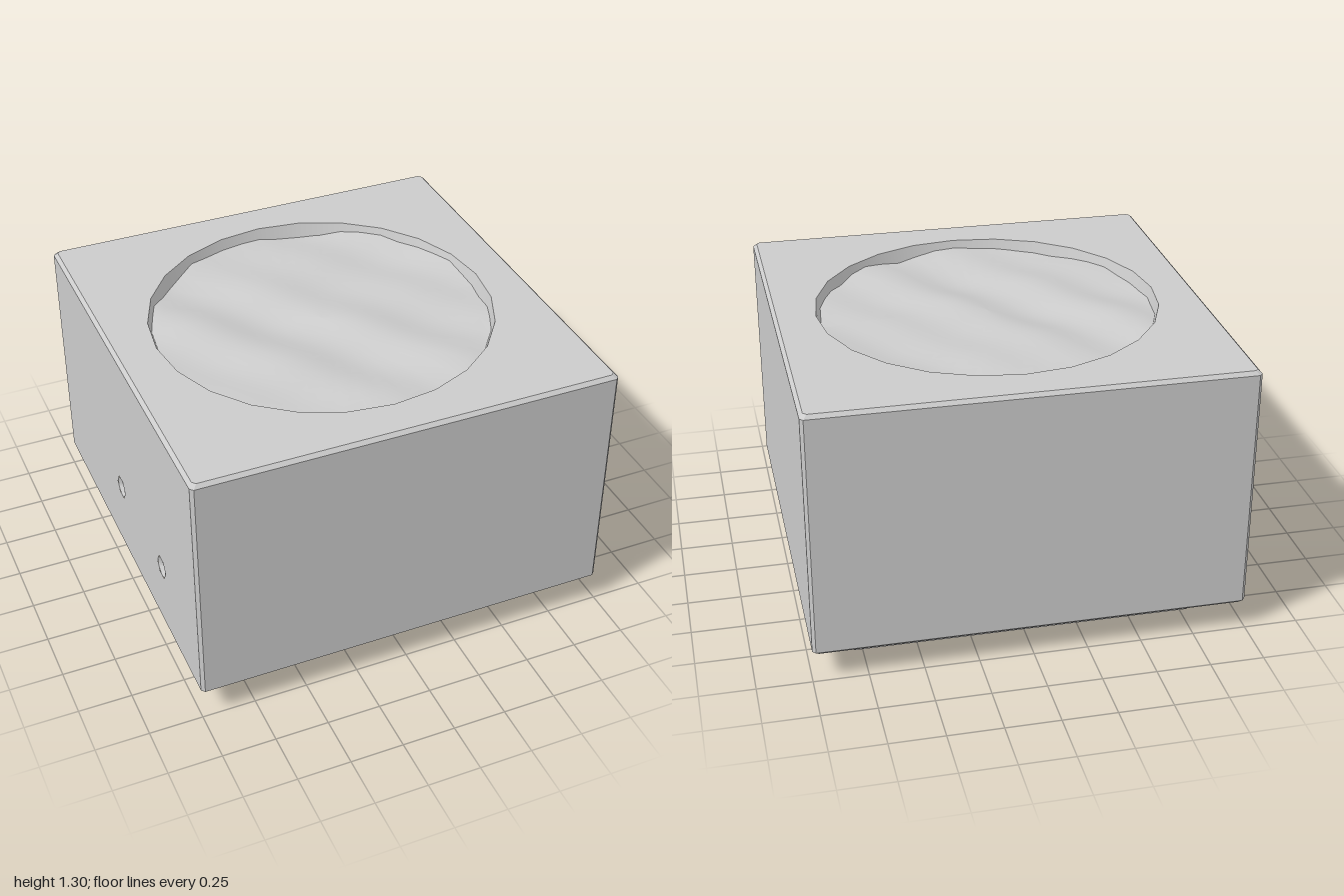
import * as THREE from 'three';
import { toCreasedNormals } from 'three/addons/utils/BufferGeometryUtils.js';

const grey = new THREE.MeshStandardMaterial({ color: 0xcccccc });
const inner = new THREE.MeshStandardMaterial({ color: 0xcccccc, side: THREE.DoubleSide });
const TOP = 1.305, HALF = 0.995, CH = 0.015, BORE = 0.8;
const PITS = [[0.5, 0.48], [-0.08, 0.51]]; // z, y of the holes in the right wall
const PIT_R = 0.055;

// Chamfered square, counter-clockwise seen from above
function squareLoop(h, y) {
  const k = h - CH;
  return [[h, k], [h, -k], [k, -h], [-k, -h], [-h, -k], [-h, k], [-k, h], [k, h]]
    .map(([x, z]) => [x, y, z]);
}

// Flat square plate with a round hole, in the XY plane
function holedSquare(h, r) {
  const shape = new THREE.Shape(squareLoop(h, 0).map(([x, , z]) => new THREE.Vector2(x, -z)));
  shape.holes.push(new THREE.Path().absarc(0, 0, r, 0, Math.PI * 2, true));
  return new THREE.ShapeGeometry(shape, 12);
}

export function createModel() {
  const group = new THREE.Group();
  const add = (name, geo, mat = grey) => {
    const mesh = new THREE.Mesh(geo, mat);
    mesh.name = name;
    group.add(mesh);
    return mesh;
  };

  // Plinth, sloping underside and bevelled outer walls
  const levels = [[0.8, 0], [0.8, 0.105], [0.98, 0.13], [HALF, 0.145], [HALF, TOP - 0.017], [HALF - 0.017, TOP]];
  const loops = levels.map(([h, y]) => squareLoop(h, y));
  const pos = [];
  for (let j = 0; j < loops.length - 1; j++) {
    for (let i = 0; i < 8; i++) {
      if (j === 3 && i === 4) continue; // the right wall is a panel of its own
      const n = (i + 1) % 8;
      const a = loops[j][i], b = loops[j][n], c = loops[j + 1][n], d = loops[j + 1][i];
      pos.push(...a, ...b, ...c, ...a, ...c, ...d);
    }
  }
  const walls = new THREE.BufferGeometry();
  walls.setAttribute('position', new THREE.Float32BufferAttribute(pos, 3));
  add('planterWalls', toCreasedNormals(walls, 0.5));

  // Right wall with two small holes
  const k = HALF - CH;
  const panel = new THREE.Shape([[-k, 0.145], [k, 0.145], [k, TOP - 0.017], [-k, TOP - 0.017]]
    .map(([x, y]) => new THREE.Vector2(x, y)));
  for (const [z, y] of PITS) {
    const pts = [];
    for (let i = 0; i < 6; i++) {
      const t = -i * Math.PI / 3;
      pts.push(new THREE.Vector2(z + PIT_R * Math.cos(t), y + PIT_R * Math.sin(t)));
    }
    panel.holes.push(new THREE.Path(pts));
    // Conical hollow behind each hole, its tip pointing into the wall
    const pit = new THREE.ConeGeometry(PIT_R, 0.05, 6, 1, true);
    pit.rotateY(Math.PI / 2).rotateZ(-Math.PI / 2);
    add('wallHole', pit, inner).position.set(-HALF + 0.025, y, z);
  }
  const right = new THREE.ShapeGeometry(panel).rotateY(-Math.PI / 2);
  add('rightWall', right).position.x = -HALF;

  // Top rim and the short bore down to the soil
  add('topRim', holedSquare(HALF - 0.017, BORE).rotateX(-Math.PI / 2)).position.y = TOP;
  add('bore', new THREE.CylinderGeometry(BORE, 0.775, 0.08, 24, 1, true), inner).position.y = TOP - 0.04;

  // Uneven soil
  const soil = new THREE.RingGeometry(0.001, 0.79, 48, 14).rotateX(-Math.PI / 2);
  const p = soil.attributes.position;
  for (let i = 0; i < p.count; i++) {
    const x = p.getX(i), z = p.getZ(i);
    const bump = Math.sin(7 * x + 3 * z) * Math.cos(8 * z - 2 * x) + 0.6 * Math.sin(13 * x - 9 * z + 1);
    p.setY(i, TOP - 0.05 + 0.016 * bump);
  }
  soil.computeVertexNormals();
  add('soil', soil, inner);

  // Underside with a shallow round recess
  add('baseUnderside', holedSquare(0.8, 0.72).rotateX(Math.PI / 2));
  add('recessWall', new THREE.CylinderGeometry(0.72, 0.72, 0.05, 24, 1, true), inner).position.y = 0.025;
  add('recessFloor', new THREE.CircleGeometry(0.72, 24).rotateX(Math.PI / 2)).position.y = 0.05;

  return group;
}
